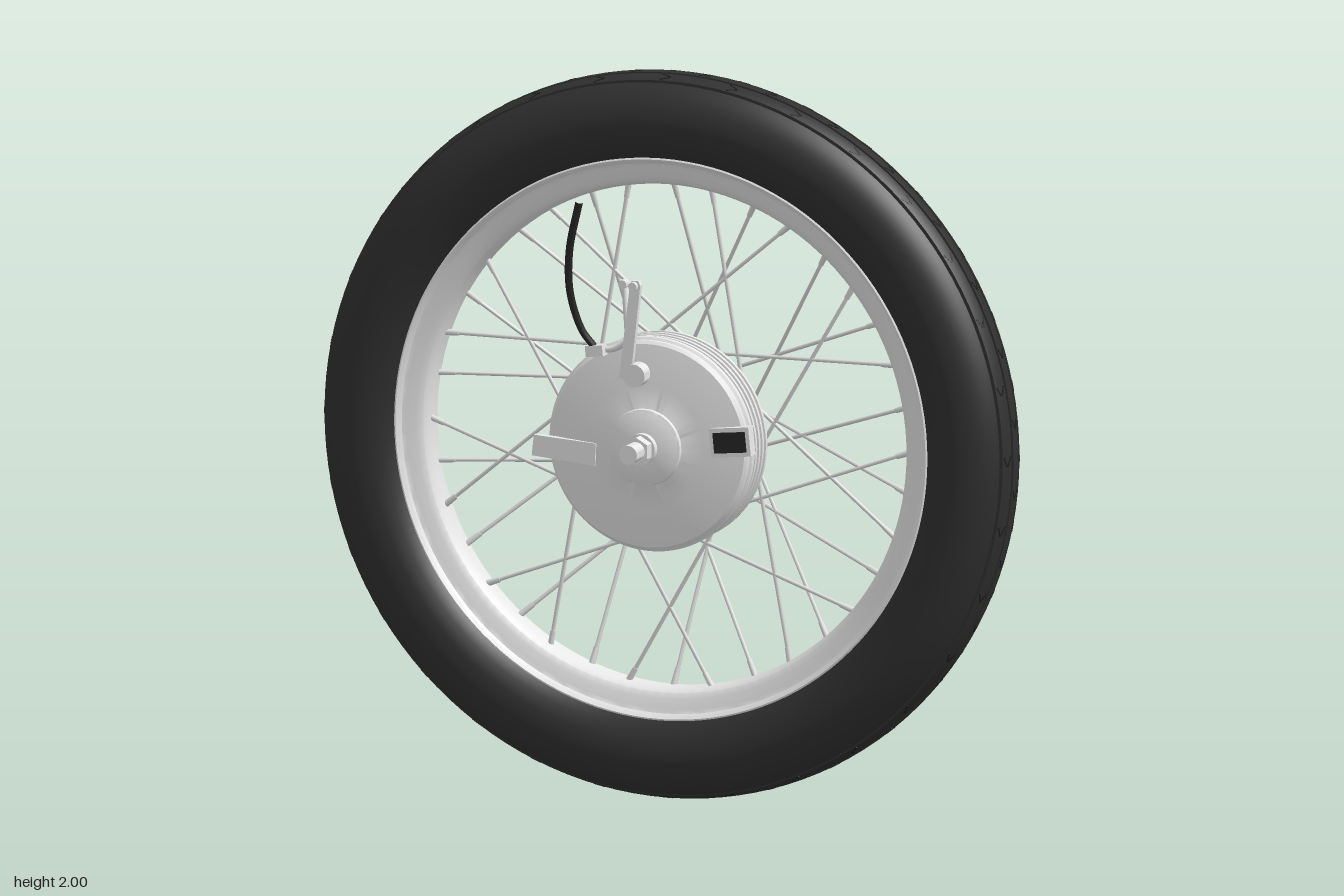
import * as THREE from 'three';
import { toCreasedNormals } from 'three/addons/utils/BufferGeometryUtils.js';

const material = (name, color) => {
  const m = new THREE.MeshStandardMaterial({ color });
  m.name = name;
  return m;
};

export function createModel() {
  const rubber = material('tyre rubber', 0x303030);
  const groove = material('tread groove black', 0x1c1c1c);
  const rimMetal = material('rim alloy', 0xf0f0f0);
  const hubMetal = material('hub alloy', 0xeeeeee);
  const steel = material('spoke steel', 0xe0e0e0);
  const black = material('cable black', 0x262626);

  const model = new THREE.Group();
  model.name = 'spokedWheel';
  const wheel = new THREE.Group();
  wheel.name = 'wheel';
  wheel.position.y = 1;
  model.add(wheel);

  const add = (name, geometry, mat, parent = wheel) => {
    const mesh = new THREE.Mesh(geometry, mat);
    mesh.name = name;
    parent.add(mesh);
    return mesh;
  };
  const group = (name) => {
    const g = new THREE.Group();
    g.name = name;
    wheel.add(g);
    return g;
  };
  // Surface of revolution around z; profile is [radius, z] with z rising on outer faces
  const turned = (name, profile, mat, segments = 96, crease = 0.55) => {
    const g = new THREE.LatheGeometry(profile.map(([r, z]) => new THREE.Vector2(r, z)), segments);
    g.rotateX(Math.PI / 2);
    return add(name, toCreasedNormals(g, crease), mat);
  };
  const polar = (r, a, z) => new THREE.Vector3(r * Math.cos(a), r * Math.sin(a), z);
  // Round bar between two points
  const bar = (name, a, b, r1, r2, mat, parent, sides = 6) => {
    const d = b.clone().sub(a);
    const mesh = add(name, new THREE.CylinderGeometry(r2, r1, d.length(), sides), mat, parent);
    mesh.position.copy(a).addScaledVector(d, 0.5);
    mesh.quaternion.setFromUnitVectors(new THREE.Vector3(0, 1, 0), d.normalize());
  };
  const box = (name, w, h, d, x, y, z, mat, tilt) => {
    const mesh = add(name, new THREE.BoxGeometry(w, h, d), mat);
    mesh.position.set(x, y, z);
    mesh.rotation.z = tilt;
  };
  // Flat plate cut from an outline in the xy plane
  const plate = (name, outline, depth, z) => {
    const shape = new THREE.Shape(outline.map(([x, y]) => new THREE.Vector2(x, y)));
    add(name, new THREE.ExtrudeGeometry(shape, { depth, bevelEnabled: false }), hubMetal).position.z = z;
  };

  // Tyre: rounded crown with four running grooves
  const crown = (z) => 0.87 + 0.13 * Math.sqrt(Math.max(0, 1 - (z / 0.13) ** 2));
  const grooves = [-0.066, -0.022, 0.022, 0.066];
  const tread = [];
  for (const z of [-0.13, -0.129, -0.126, -0.121, -0.114, -0.105, -0.095, -0.083, -0.055, -0.044, -0.033, -0.011, 0,
    0.011, 0.033, 0.044, 0.055, 0.083, 0.095, 0.105, 0.114, 0.121, 0.126, 0.129, 0.13]) tread.push([crown(z), z]);
  for (const g of grooves) {
    for (const [dz, depth] of [[-0.0045, 0], [-0.004, 0.012], [0.004, 0.012], [0.0045, 0]]) {
      tread.push([crown(g + dz) - depth, g + dz]);
    }
  }
  tread.sort((a, b) => a[1] - b[1]);
  const wall = [[0.765, 0.07], [0.778, 0.088], [0.8, 0.108], [0.835, 0.124]];
  turned('tyre', [...wall.map(([r, z]) => [r, -z]), ...tread, ...wall.slice().reverse()], rubber, 128, 0.7);
  for (const g of grooves) {
    const r = crown(g) - 0.009;
    turned('treadGroove', [[r, g - 0.004], [r, g + 0.004]], groove, 128);
  }

  // Slim chevron cuts lying flush between the grooves
  const cuts = group('treadCuts');
  const cutGeometry = new THREE.BoxGeometry(0.003, 0.03, 0.005);
  [-0.044, 0, 0.044].forEach((z, row) => {
    for (let i = 0; i < 32; i++) {
      const a = ((i + (row % 2) / 2) / 32) * Math.PI * 2;
      for (const s of [-1, 1]) {
        const zz = z + s * 0.007;
        const holder = new THREE.Group();
        holder.name = 'treadCut';
        holder.position.copy(polar(crown(zz) - 0.001, a, zz));
        holder.rotation.set(0, -Math.asin(zz / 0.13), a, 'ZYX');
        cuts.add(holder);
        add('cut', cutGeometry, groove, holder).rotation.x = s * 0.45;
      }
    }
  });

  // Rim: closed dished section with rolled lips
  const half = [[0.762, 0.078], [0.757, 0.071], [0.745, 0.066], [0.72, 0.06], [0.703, 0.05], [0.695, 0.035], [0.691, 0.015]];
  turned('rim', [
    [0.77, -0.086], [0.777, -0.082], [0.776, -0.068], [0.765, -0.06], [0.765, 0.06], [0.776, 0.068],
    [0.777, 0.082], [0.77, 0.086], ...half, ...half.slice().reverse().map(([r, z]) => [r, -z]), [0.77, -0.086],
  ], rimMetal, 128);

  // Hub: domed body, finned drum and rear spoke flange
  turned('hubBody', [
    [0.1, -0.165], [0.14, -0.15], [0.19, -0.125], [0.228, -0.09], [0.253, -0.05], [0.268, -0.01], [0.275, 0.03], [0.28, 0.045],
  ], hubMetal);
  const fins = [];
  for (let i = 0; i < 4; i++) {
    const z = 0.035 + i * 0.025;
    fins.push([0.275, z], [0.292, z + 0.003], [0.292, z + 0.014], [0.275, z + 0.017]);
  }
  turned('drumFins', [[0.25, 0.033], ...fins, [0.25, 0.135]], hubMetal);
  turned('rearFlange', [
    [0, -0.21], [0.06, -0.208], [0.1, -0.203], [0.14, -0.195], [0.158, -0.186], [0.163, -0.177], [0.155, -0.168], [0.09, -0.16],
  ], hubMetal);

  // Brake plate with a low centre boss
  turned('brakePlate', [
    [0.26, 0.13], [0.292, 0.133], [0.295, 0.14], [0.295, 0.155], [0.288, 0.16], [0.288, 0.172], [0.28, 0.18],
    [0.24, 0.187], [0.17, 0.196], [0.106, 0.201], [0.104, 0.21], [0.098, 0.214], [0, 0.218],
  ], hubMetal);

  // Axle with its nuts and spacers
  const alongZ = (name, r, z1, z2, sides, x = 0, y = 0) => {
    const mesh = add(name, toCreasedNormals(new THREE.CylinderGeometry(r, r, z2 - z1, sides), 0.6), hubMetal);
    mesh.rotation.x = Math.PI / 2;
    mesh.position.set(x, y, (z1 + z2) / 2);
  };
  alongZ('axle', 0.026, -0.327, 0.327, 24);
  alongZ('frontNut', 0.038, 0.215, 0.268, 6);
  alongZ('frontWasher', 0.042, 0.215, 0.236, 24);
  alongZ('rearSpacer', 0.065, -0.237, -0.2, 32);
  alongZ('rearNut', 0.036, -0.262, -0.23, 6);

  // Spokes: alternate flanges, and alternate lean on each flange
  const spokes = group('spokes');
  for (let i = 0; i < 36; i++) {
    const a = (i * Math.PI) / 18;
    const front = i % 2 === 0;
    const lean = ((Math.floor(i / 2) % 2 ? 1 : -1) * 38.5 * Math.PI) / 180;
    const outer = polar(0.695, a, front ? 0.012 : -0.012);
    const inner = front ? polar(0.276, a + lean, 0.015) : polar(0.148, a + lean, -0.177);
    bar('spoke', inner, outer, 0.0055, 0.0055, steel, spokes);
    bar('nipple', outer.clone().lerp(inner, 0.08), outer, 0.0075, 0.009, steel, spokes, 8);
  }

  // Brake lever on its pivot, with pull rod
  alongZ('leverPivot', 0.032, 0.185, 0.235, 24, -0.02, 0.2);
  plate('brakeLever', [[-0.064, 0.19], [-0.03, 0.19], [-0.002, 0.45], [-0.008, 0.462], [-0.026, 0.462], [-0.032, 0.45]], 0.016, 0.215);
  alongZ('leverPin', 0.012, 0.205, 0.245, 12, -0.02, 0.448);
  bar('pullRod', new THREE.Vector3(-0.045, 0.27, 0.212), new THREE.Vector3(-0.053, 0.45, 0.222), 0.007, 0.007, hubMetal, wheel, 8);
  alongZ('rodEye', 0.012, 0.208, 0.235, 12, -0.053, 0.45);

  // Cable stop bracket and cable
  box('cableStop', 0.05, 0.03, 0.035, -0.14, 0.258, 0.205, hubMetal, 0.1);
  const curveTube = (name, points, r, mat) => add(name, new THREE.TubeGeometry(
    new THREE.CatmullRomCurve3(points.map((p) => new THREE.Vector3(...p))), 32, r, 8), mat);
  curveTube('stopBracket', [[-0.13, 0.258, 0.195], [-0.09, 0.265, 0.195], [-0.055, 0.285, 0.2], [-0.04, 0.3, 0.205]], 0.009, hubMetal);
  curveTube('brakeCable', [[-0.145, 0.27, 0.21], [-0.175, 0.315, 0.222], [-0.2, 0.42, 0.245],
    [-0.193, 0.54, 0.268], [-0.157, 0.68, 0.288]], 0.0105, black);

  // Torque arm and framed dark plate on the brake plate
  plate('torqueArm', [[-0.328, -0.045], [-0.145, -0.062], [-0.142, 0], [-0.322, 0.012]], 0.02, 0.183);
  box('plateMount', 0.115, 0.08, 0.035, 0.247, 0.03, 0.185, hubMetal, 0.1);
  box('darkPlate', 0.093, 0.056, 0.006, 0.247, 0.03, 0.204, black, 0.1);

  return model;
}
